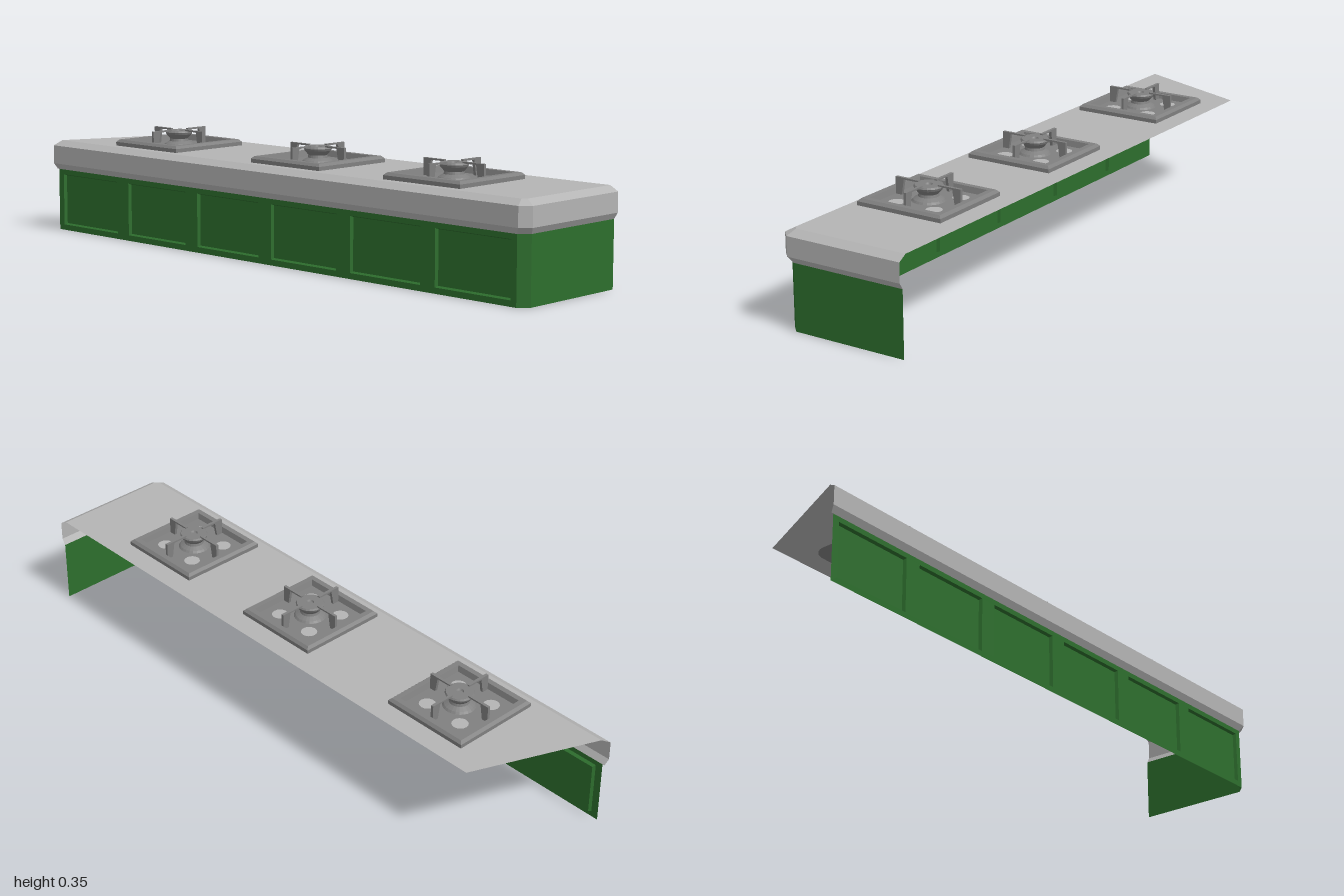
import * as THREE from 'three';

const flat = { side: THREE.DoubleSide, flatShading: true };
const steel = new THREE.MeshStandardMaterial({ color: 0xb4b4b4, side: THREE.DoubleSide });
steel.name = 'counterGrey';
const iron = new THREE.MeshStandardMaterial({ color: 0x808080, ...flat });
iron.name = 'burnerGrey';
const green = new THREE.MeshStandardMaterial({ color: 0x2d6e2d, side: THREE.DoubleSide });
green.name = 'cabinetGreen';

const X0 = -0.207, X1 = 0.206, TOP = 0.298;
const slantZ = x => -1 + (x - X0) * 0.41; // angled back end

function add(parent, geometry, material, name) {
  const mesh = new THREE.Mesh(geometry, material);
  mesh.name = name;
  parent.add(mesh);
  return mesh;
}

// plan outline inset by d, with corner cut k, at height y
function outline(y, d, k) {
  const x = X0 + d, z = 1 - d;
  return [[x, y, slantZ(x)], [x, y, z - k], [x + k, y, z], [X1, y, z]];
}

// flat-shaded strips between successive rows of points, top row first
function loft(rows, closed = false) {
  const pos = [];
  for (let r = 0; r < rows.length - 1; r++) {
    const a = rows[r], b = rows[r + 1];
    for (let i = 0; i < a.length - (closed ? 0 : 1); i++) {
      const j = (i + 1) % a.length;
      pos.push(...a[i], ...b[i], ...b[j], ...a[i], ...b[j], ...a[j]);
    }
  }
  const g = new THREE.BufferGeometry();
  g.setAttribute('position', new THREE.Float32BufferAttribute(pos, 3));
  g.computeVertexNormals();
  return g;
}

function rectPath(target, z0, z1, y0, y1) {
  target.moveTo(z0, y0);
  target.lineTo(z1, y0);
  target.lineTo(z1, y1);
  target.lineTo(z0, y1);
  target.closePath();
  return target;
}

function buildCounter() {
  const g = new THREE.Group();
  g.name = 'counter';
  const top = outline(TOP, 0.028, 0.012);
  add(g, loft([top, outline(0.282, 0, 0.028), outline(0.222, 0, 0.028), outline(0.203, 0.012, 0.028)]),
    steel, 'counterEdge');
  const shape = new THREE.Shape(top.map(([x, , z]) => new THREE.Vector2(x, -z))
    .concat(new THREE.Vector2(X1, -slantZ(X1))));
  add(g, new THREE.ShapeGeometry(shape).rotateX(-Math.PI / 2).translate(0, TOP, 0), steel, 'countertop');
  return g;
}

function buildCabinet() {
  const g = new THREE.Group();
  g.name = 'cabinet';
  const x = X0 + 0.012, depth = 0.01, y0 = 0.018, y1 = 0.187;
  // plain front wall with its cut corner
  const front = y => outline(y, 0.012, 0.028).slice(1);
  add(g, loft([front(0.203), front(0)]), green, 'frontWall');
  // long side wall with six recessed panels
  const wall = rectPath(new THREE.Shape(), -0.988, 0.96, 0, 0.203);
  for (let i = 0; i < 6; i++) {
    const z1 = 0.94 - i * 0.3265, z0 = z1 - 0.272;
    wall.holes.push(rectPath(new THREE.Path(), z0, z1, y0, y1));
    const ring = (px, m) => [[px, y0 + m, z0 + m], [px, y0 + m, z1 - m], [px, y1 - m, z1 - m], [px, y1 - m, z0 + m]];
    const inner = ring(x + depth, 0.004);
    add(g, loft([ring(x, 0), inner].reverse(), true), green, 'panelRecess');
    add(g, loft([[inner[3], inner[2]], [inner[0], inner[1]]]), green, 'panel');
  }
  add(g, new THREE.ShapeGeometry(wall).rotateY(-Math.PI / 2).translate(x, 0, 0), green, 'sideWall');
  return g;
}

function buildBurner() {
  const g = new THREE.Group();
  g.name = 'burner';
  const V = (r, y) => new THREE.Vector2(r, y);

  // raised square rim
  const rim = [[0.145, 0], [0.145, 0.012], [0.137, 0.02], [0.12, 0.02], [0.115, 0.002]]
    .map(([r, y]) => V(r * Math.SQRT2, y));
  add(g, new THREE.LatheGeometry(rim, 4, Math.PI / 4), iron, 'trayRim');

  // tray floor and its rounded underside
  add(g, new THREE.PlaneGeometry(0.232, 0.232).rotateX(-Math.PI / 2).translate(0, 0.002, 0), iron, 'trayFloor');
  const h = 0.143, c = 0.05;
  const s = new THREE.Shape();
  for (let i = 0; i < 4; i++) {
    const a = i * Math.PI / 2 + Math.PI / 4;
    s.absarc(Math.sign(Math.cos(a)) * (h - c), Math.sign(Math.sin(a)) * (h - c), c,
      i * Math.PI / 2, (i + 1) * Math.PI / 2, false);
  }
  add(g, new THREE.ShapeGeometry(s, 6).rotateX(Math.PI / 2).translate(0, -0.002, 0), iron, 'trayUnderside');

  // bright round spots in the tray corners
  for (const sx of [-1, 1]) for (const sz of [-1, 1]) {
    add(g, new THREE.CircleGeometry(0.025, 16).rotateX(-Math.PI / 2)
      .translate(sx * 0.065, 0.003, sz * 0.065), steel, 'traySpot');
  }

  // waisted burner head
  const head = [[0.05, 0.002], [0.045, 0.008], [0.031, 0.016], [0.029, 0.024], [0.041, 0.038],
    [0.044, 0.045], [0.041, 0.05], [0.012, 0.05], [0.009, 0.045], [0, 0.045]].map(([r, y]) => V(r, y));
  add(g, new THREE.LatheGeometry(head, 24), iron, 'burnerHead');

  // four pan supports
  const arm = new THREE.Shape([V(0.114, 0.002), V(0.114, 0.054), V(0.035, 0.054), V(0.035, 0.049),
    V(0.085, 0.049), V(0.093, 0.002)]);
  for (let i = 0; i < 4; i++) {
    const geo = new THREE.ExtrudeGeometry(arm, { depth: 0.009, bevelEnabled: false });
    add(g, geo.translate(0, 0, -0.0045).rotateY(i * Math.PI / 2), iron, 'panSupport');
  }
  return g;
}

export function createModel() {
  const model = new THREE.Group();
  model.name = 'stoveCounter';
  model.add(buildCounter(), buildCabinet());
  for (const z of [0.576, 0.03, -0.6]) {
    const burner = buildBurner();
    burner.position.set(-0.007, TOP, z);
    model.add(burner);
  }
  return model;
}
